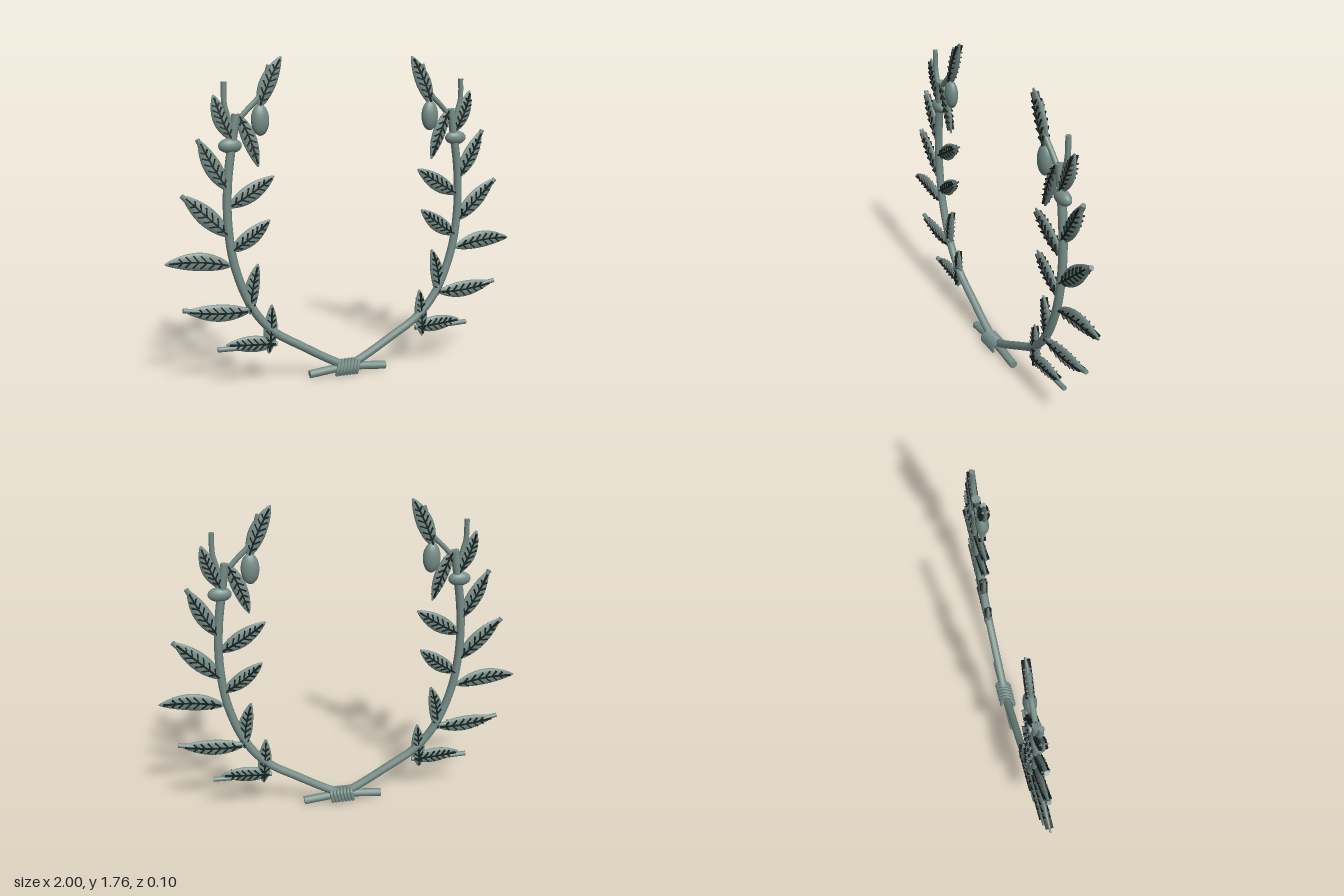
import * as THREE from 'three';
import { mergeGeometries } from 'three/addons/utils/BufferGeometryUtils.js';
import { ParametricGeometry } from 'three/addons/geometries/ParametricGeometry.js';

const patina = new THREE.MeshStandardMaterial({ color: 0x758c87 });
patina.name = 'patina green';
const dark = new THREE.MeshStandardMaterial({ color: 0x15211f });
dark.name = 'dark vein';

// Leaves of one branch: base x, y, tip x, y, half width, sideways bend
const LEAVES = [
  [0.405, 0.235, 0.69, 0.255, 0.043, 0.0],
  [0.455, 0.18, 0.435, 0.455, 0.036, 0.0],
  [0.55, 0.43, 0.9, 0.46, 0.044, -0.01],
  [0.555, 0.41, 0.507, 0.685, 0.037, -0.012],
  [0.65, 0.685, 0.998, 0.72, 0.046, 0.018],
  [0.655, 0.76, 0.437, 0.917, 0.042, 0.008],
  [0.655, 0.84, 0.895, 1.07, 0.047, 0.0],
  [0.66, 0.995, 0.412, 1.148, 0.044, 0.005],
  [0.655, 1.08, 0.805, 1.35, 0.043, -0.008],
  [0.6, 1.48, 0.495, 1.2, 0.036, -0.008],
  [0.63, 1.34, 0.725, 1.575, 0.04, -0.01],
  [0.49, 1.5, 0.367, 1.765, 0.042, -0.008],
];

// Thin twigs: radius, then x, y points
const TWIGS = [
  [0.014, [[0.41, 0.232], [0.57, 0.23], [0.735, 0.234]]],
  [0.013, [[0.56, 0.44], [0.75, 0.44], [0.912, 0.467]]],
  [0.013, [[0.66, 0.85], [0.78, 0.94], [0.9, 1.068]]],
  [0.013, [[0.655, 1.09], [0.74, 1.21], [0.81, 1.352]]],
  [0.014, [[0.625, 1.34], [0.65, 1.46], [0.668, 1.53], [0.668, 1.64]]],
  [0.014, [[0.62, 1.42], [0.55, 1.495], [0.48, 1.57], [0.43, 1.72]]],
];

const STEM = [[-0.225, 0.032], [-0.1, 0.045], [0, 0.055], [0.08, 0.09], [0.26, 0.195], [0.43, 0.305],
  [0.54, 0.44], [0.63, 0.67], [0.663, 0.9], [0.66, 1.12], [0.635, 1.31], [0.608, 1.475]];

function mesh(name, geometry, material) {
  const m = new THREE.Mesh(geometry, material);
  m.name = name;
  return m;
}

// Round rod along a curve, closed with flat ends
function rod(points, radius, segments, sides = 10) {
  const curve = new THREE.CatmullRomCurve3(points);
  const parts = [new THREE.TubeGeometry(curve, segments, radius, sides)];
  for (const t of [0, 1]) {
    const cap = new THREE.CircleGeometry(radius, sides);
    const dir = curve.getTangent(t).multiplyScalar(t ? 1 : -1);
    cap.applyQuaternion(new THREE.Quaternion().setFromUnitVectors(new THREE.Vector3(0, 0, 1), dir));
    const p = curve.getPoint(t);
    parts.push(cap.translate(p.x, p.y, p.z));
  }
  return mergeGeometries(parts);
}

// Straight bar in the leaf plane, passing through both leaf faces
function bar(x0, y0, x1, y1, width, depth) {
  const g = new THREE.BoxGeometry(Math.hypot(x1 - x0, y1 - y0), width, depth);
  return g.rotateZ(Math.atan2(y1 - y0, x1 - x0)).translate((x0 + x1) / 2, (y0 + y1) / 2, 0);
}

function leaf(s, [x0, y0, x1, y1, halfWidth, bend]) {
  const length = Math.hypot(x1 - x0, y1 - y0);
  const mid = (t) => s * bend * Math.sin(Math.PI * t);
  const half = (t) => 0.003 + halfWidth * Math.pow(Math.sin(Math.PI * Math.pow(t, 0.92)), 0.8);

  // Lens-shaped blade swept along the midrib
  const blade = new ParametricGeometry((u, v, out) => {
    const t = Math.min(Math.max(u, 0.0001), 0.9999);
    const a = -2 * Math.PI * v;
    const w = half(t);
    out.set(t * length, mid(t) + w * Math.cos(a), Math.sin(a) * (0.003 + 0.012 * w / halfWidth));
  }, 18, 12);

  // Midrib and paired side veins
  const bars = [];
  for (let i = 0; i < 6; i++) {
    const a = 0.06 + i * 0.145, b = a + 0.15;
    bars.push(bar(a * length, mid(a), b * length, mid(b), 0.008, 0.042));
  }
  for (let i = 0; i < 6; i++) {
    const t = 0.14 + i * 0.12;
    const reach = half(t + 0.07) * 0.68;
    for (const side of [-1, 1]) {
      bars.push(bar(t * length, mid(t), t * length + reach * 1.0, mid(t) + side * reach, 0.007, 0.04));
    }
  }

  const g = new THREE.Group();
  g.name = 'leaf';
  g.add(mesh('leafBlade', blade, patina), mesh('leafVeins', mergeGeometries(bars), dark));
  g.position.set(s * x0, y0, 0);
  g.rotation.z = Math.atan2(y1 - y0, s * (x1 - x0));
  return g;
}

function olive(s, x, y, rx, ry, rz) {
  const m = mesh('olive', new THREE.SphereGeometry(1, 24, 16).scale(rx, ry, rz), patina);
  m.position.set(s * x, y, 0);
  return m;
}

function branch(s) {
  const g = new THREE.Group();
  g.name = s > 0 ? 'leftBranch' : 'rightBranch';
  const path = (pts) => pts.map(([x, y]) => new THREE.Vector3(s * x, y, 0));
  g.add(mesh('stem', rod(path(STEM), 0.023, 80, 14), patina));
  for (const [r, pts] of TWIGS) g.add(mesh('twig', rod(path(pts), r, 16), patina));
  for (const spec of LEAVES) g.add(leaf(s, spec));
  g.add(olive(s, 0.482, 1.442, 0.048, 0.082, 0.034));
  g.add(olive(s, 0.643, 1.315, 0.062, 0.039, 0.034));
  return g;
}

// Slanted wire loops over the crossing, open underneath
function binding() {
  const g = new THREE.Group();
  g.name = 'binding';
  const section = [[0.03, 0.016], [0.04, 0.045], [0.03, 0.075], [0, 0.088], [-0.028, 0.076], [-0.036, 0.05], [-0.036, 0.022]];
  for (let i = 0; i < 7; i++) {
    const x = -0.06 + i * 0.0195;
    const pts = section.map(([z, y]) => new THREE.Vector3(x - z * 0.3 + (y - 0.05) * 0.25, y, z));
    g.add(mesh('wireLoop', rod(pts, 0.01, 24, 8), patina));
  }
  return g;
}

export function createModel() {
  const model = new THREE.Group();
  model.name = 'oliveWreath';
  model.add(branch(1), branch(-1), binding());
  return model;
}
